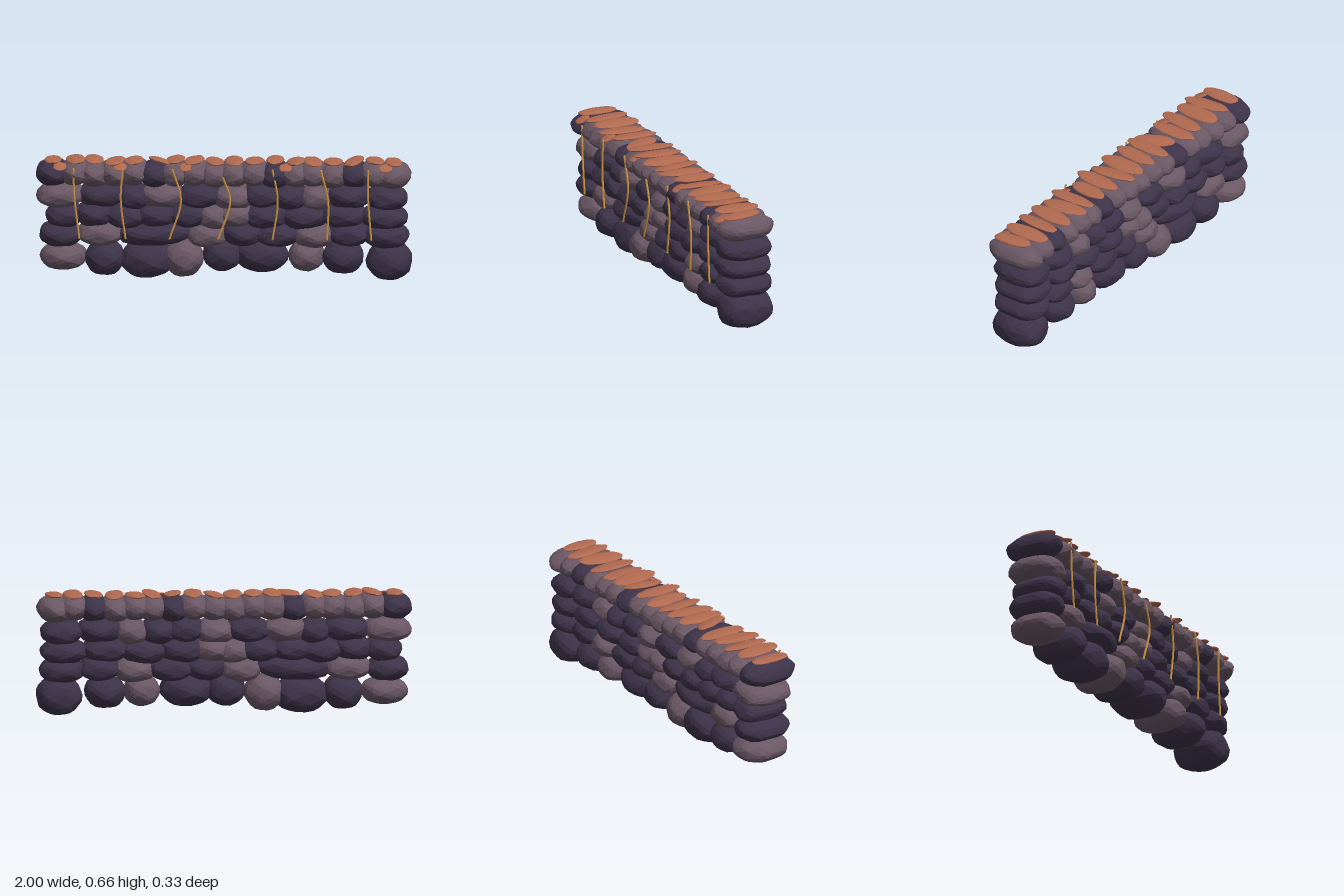
import * as THREE from 'three';

const flat = (name, color) => {
  const m = new THREE.MeshStandardMaterial({ color, flatShading: true });
  m.name = name;
  return m;
};

// Boxy low-poly boulder with gentle lumps; the seed varies its shape
function boulder(rx, ry, rz, seed, power = 0.78) {
  const geo = new THREE.IcosahedronGeometry(1, 3);
  const p = geo.attributes.position;
  const v = new THREE.Vector3();
  const soft = (c, e) => Math.sign(c) * Math.abs(c) ** e;
  for (let i = 0; i < p.count; i++) {
    v.fromBufferAttribute(p, i);
    const lump = 1 + 0.03 * Math.sin(5 * v.x + seed) * Math.sin(6 * v.y + 2 * seed) + 0.02 * Math.sin(9 * v.z + 3 * seed);
    p.setXYZ(i, soft(v.x, 0.95) * rx * lump, soft(v.y, 0.95) * ry * lump, soft(v.z, power) * rz * lump);
  }
  geo.computeVertexNormals();
  return geo;
}

export function createModel() {
  const group = new THREE.Group();
  const dark = flat('dark stone', 0x3d3349);
  const light = flat('pale stone', 0x6a5764);
  const rust = flat('rust moss', 0xb0694f);
  const gold = flat('golden vine', 0xc8923f);

  let seed = 0;
  const add = (parent, name, geo, mat, x, y, z) => {
    const m = new THREE.Mesh(geo, mat);
    m.name = name;
    m.position.set(x, y, z);
    parent.add(m);
    return m;
  };

  // Foundation stones: x, y, half width, half height, pale?
  const base = new THREE.Group();
  base.name = 'foundationCourse';
  group.add(base);
  [
    [-0.855, 0.125, 0.125, 0.072, 1], [-0.635, 0.12, 0.105, 0.095, 0],
    [-0.41, 0.11, 0.145, 0.1, 0], [-0.215, 0.12, 0.105, 0.1, 1],
    [-0.01, 0.14, 0.105, 0.09, 0], [0.2, 0.14, 0.14, 0.092, 0],
    [0.435, 0.135, 0.095, 0.083, 1], [0.63, 0.13, 0.11, 0.088, 0],
    [0.875, 0.11, 0.122, 0.105, 0],
  ].forEach(([x, y, rx, ry, pale]) =>
    add(base, 'foundationStone', boulder(rx, ry, 0.15, ++seed), pale ? light : dark, x, y, -0.01));

  // Middle courses: x, half width, pale?
  const courses = [
    [0.25, [[-0.87, 0.115, 0], [-0.66, 0.125, 1], [-0.37, 0.2, 0], [-0.09, 0.11, 1], [0.1, 0.11, 0],
      [0.28, 0.125, 0], [0.48, 0.11, 1], [0.66, 0.115, 0], [0.86, 0.12, 0]]],
    [0.35, [[-0.85, 0.1, 0], [-0.69, 0.1, 0], [-0.52, 0.115, 0], [-0.36, 0.11, 0], [-0.19, 0.11, 0],
      [-0.05, 0.09, 1], [0.06, 0.1, 1], [0.22, 0.12, 0], [0.43, 0.125, 0], [0.63, 0.125, 0], [0.85, 0.125, 0]]],
    [0.455, [[-0.87, 0.13, 1], [-0.65, 0.125, 0], [-0.48, 0.09, 0], [-0.33, 0.12, 1], [-0.13, 0.12, 0],
      [0.05, 0.11, 1], [0.2, 0.1, 0], [0.35, 0.095, 0], [0.49, 0.09, 1], [0.66, 0.12, 0], [0.86, 0.115, 0]]],
  ];
  courses.forEach(([y, stones], i) => {
    const course = new THREE.Group();
    course.name = 'wallCourse' + (i + 1);
    group.add(course);
    for (const [x, rx, pale] of stones) {
      const s = add(course, 'wallStone', boulder(rx, 0.067, 0.15, ++seed, 0.65), pale ? light : dark,
        x, y + 0.006 * Math.sin(seed * 2.3), -0.01);
      s.rotation.z = 0.05 * Math.sin(seed * 1.7);
    }
  });

  // Capstones along the top, each with a lens of moss
  const caps = new THREE.Group();
  const moss = new THREE.Group();
  caps.name = 'capstones';
  moss.name = 'mossPatches';
  group.add(caps, moss);
  const capX = [-0.91, -0.79, -0.69, -0.58, -0.48, -0.37, -0.26, -0.16, -0.05, 0.05, 0.16, 0.27, 0.38, 0.47, 0.58, 0.69, 0.8, 0.9];
  const darkCaps = [0, 5, 11, 15];
  capX.forEach((x, i) => {
    const isDark = darkCaps.includes(i);
    const end = i === 0 || i === 17;
    const cap = add(caps, 'capstone', boulder(end ? 0.092 : 0.085, 0.069, 0.162, ++seed, 0.8),
      isDark ? dark : light, x, 0.576 + 0.005 * Math.sin(i * 2.1), 0);
    cap.rotation.z = 0.12 * Math.sin(i * 1.9);

    const big = !end && i !== 5 && i !== 11;
    const patch = add(moss, 'mossPatch', boulder(big ? 0.05 : 0.045, 0.013, big ? 0.13 : 0.11, ++seed, 0.9), rust,
      x + (i === 5 ? 0.03 : 0), 0.643 + 0.004 * Math.sin(i * 1.3), 0.012 + 0.012 * Math.sin(i * 2.7));
    patch.rotation.set(0.05 * Math.sin(i * 3.1), 0.12 * Math.sin(i * 1.6), 0.15 * Math.sin(i * 2.2));
    if (i === 5) patch.rotation.y = 0.45;
  });

  // Moss that spills over the front edge
  for (const x of [-0.87, -0.55, -0.2, 0.33, 0.86]) {
    const spill = add(moss, 'mossSpill', boulder(0.035, 0.008, 0.04, ++seed, 0.9), rust, x, 0.624, 0.118);
    spill.rotation.x = 0.4;
  }

  // Vines hanging on the front face: x at top, middle and end, then top height
  const vines = new THREE.Group();
  vines.name = 'vines';
  group.add(vines);
  [
    [-0.797, -0.79, -0.765, 0.615], [-0.535, -0.545, -0.52, 0.615], [-0.27, -0.225, -0.285, 0.615],
    [0, 0.037, -0.027, 0.57], [0.262, 0.289, 0.262, 0.615], [0.519, 0.556, 0.551, 0.615],
    [0.77, 0.77, 0.786, 0.615],
  ].forEach(([a, b, c, top]) => {
    const path = new THREE.CatmullRomCurve3([
      new THREE.Vector3(a, top, 0.155),
      new THREE.Vector3(b, 0.45, 0.155),
      new THREE.Vector3(c, 0.245, 0.155),
    ]);
    add(vines, 'vine', new THREE.TubeGeometry(path, 14, 0.006, 6), gold, 0, 0, 0);
    // Closed tips
    add(vines, 'vineTip', new THREE.IcosahedronGeometry(0.006, 1), gold, a, top, 0.155);
    add(vines, 'vineTip', new THREE.IcosahedronGeometry(0.006, 1), gold, c, 0.245, 0.155);
  });

  return group;
}
